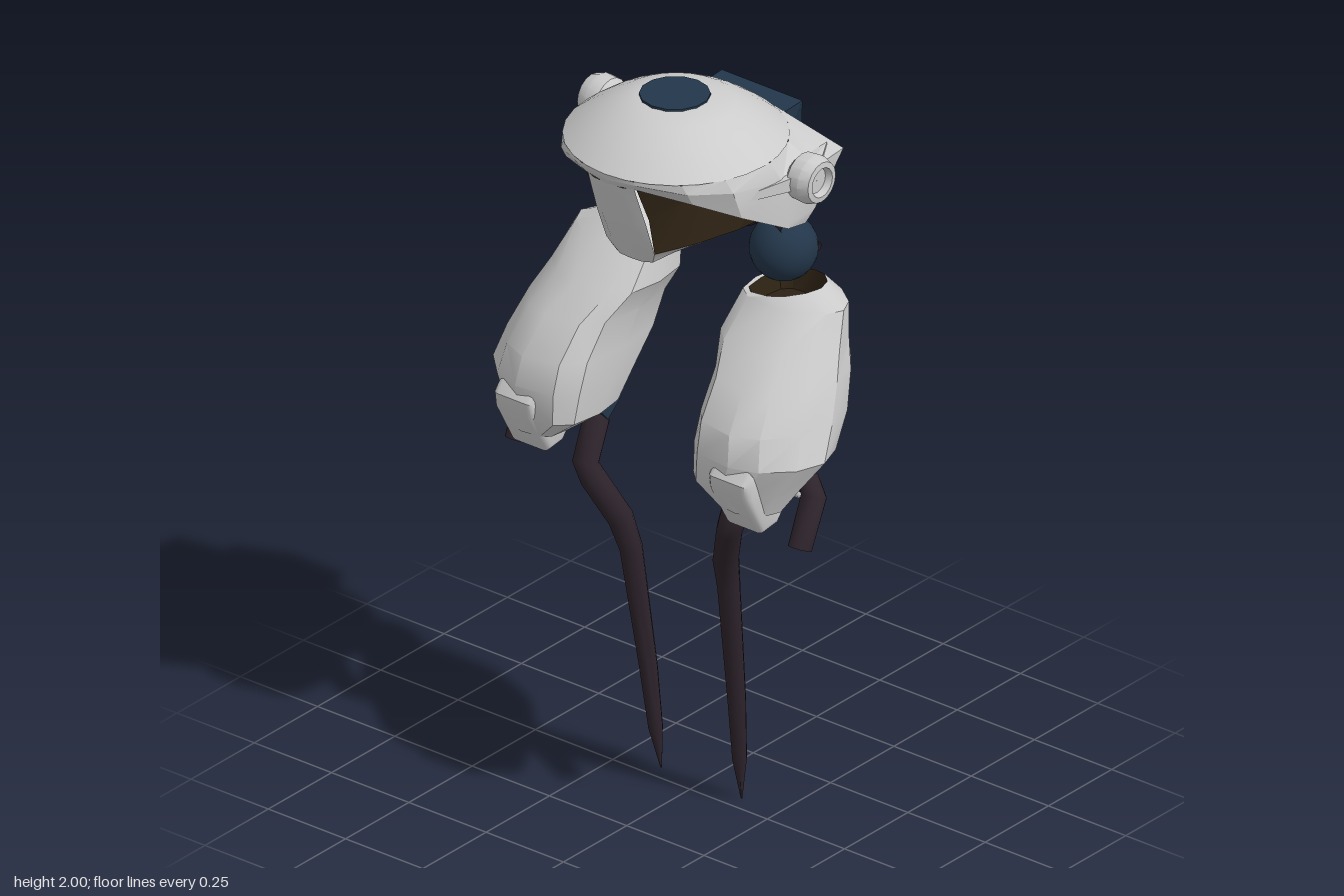
import * as THREE from 'three';
import { toCreasedNormals } from 'three/addons/utils/BufferGeometryUtils.js';
import { ConvexGeometry } from 'three/addons/geometries/ConvexGeometry.js';

const paint = (color) => new THREE.MeshStandardMaterial({ color, side: THREE.DoubleSide });
const GREY = paint(0xcccccc), BLUE = paint(0x23364a), DARK = paint(0x2e242c), HOLLOW = paint(0x2c2113);
const V = (x, y, z) => new THREE.Vector3(x, y, z);

function add(group, name, geometry, material, x = 0, y = 0, z = 0) {
  const mesh = new THREE.Mesh(geometry, material);
  mesh.name = name;
  mesh.position.set(x, y, z);
  group.add(mesh);
  return mesh;
}

// Skin rows of points; rows run along the part, points run around it
function loft(rows, closed = true, crease = 0.6) {
  const pos = [], n = rows[0].length;
  const tri = (a, b, c) => {
    const area = b.clone().sub(a).cross(c.clone().sub(a)).length();
    if (area > 1e-7) for (const p of [a, b, c]) pos.push(p.x, p.y, p.z);
  };
  for (let i = 0; i < rows.length - 1; i++)
    for (let j = 0; j < (closed ? n : n - 1); j++) {
      const k = (j + 1) % n, [r, s] = [rows[i], rows[i + 1]];
      tri(r[j], r[k], s[k]);
      tri(r[j], s[k], s[j]);
    }
  const g = new THREE.BufferGeometry();
  g.setAttribute('position', new THREE.Float32BufferAttribute(pos, 3));
  return toCreasedNormals(g, crease);
}

// Round limb along a bent path; each node is [x, y, z, radius]
function limb(nodes, sides = 10) {
  const pts = nodes.map(([x, y, z]) => V(x, y, z)), last = pts.length - 1;
  const rows = pts.map((p, i) => {
    const t = pts[Math.min(i + 1, last)].clone().sub(pts[Math.max(i - 1, 0)]).normalize();
    const u = V(0, 0, 1).addScaledVector(t, -t.z).normalize(), v = t.clone().cross(u);
    return Array.from({ length: sides }, (_, j) => {
      const a = (j / sides) * Math.PI * 2;
      return p.clone().addScaledVector(u, Math.cos(a) * nodes[i][3]).addScaledVector(v, Math.sin(a) * nodes[i][3]);
    });
  });
  const cap = (p) => Array(sides).fill(p);
  return loft([cap(pts[0]), ...rows, cap(pts[last])], true, 0.9);
}

// Horizontal section of the thigh: boxy on the inner side, wedge-like on the outer side
function section([y, x0, x1, z0, z1], tilt = 0) {
  return Array.from({ length: 12 }, (_, j) => {
    const a = (j / 12) * Math.PI * 2, power = Math.cos(a) > 0.01 ? 1.15 : 0.65;
    const soft = (c) => Math.sign(c) * Math.abs(c) ** power;
    const c = soft(Math.cos(a));
    return V((x0 + x1) / 2 + c * (x1 - x0) / 2, y + tilt * c, (z0 + z1) / 2 + soft(Math.sin(a)) * (z1 - z0) / 2);
  });
}

function makeHead() {
  const head = new THREE.Group();
  head.name = 'head';

  // Dome and the round hatch on top
  const dome = [[0.285, 1.886], [0.25, 1.915], [0.205, 1.946], [0.15, 1.976], [0.09, 1.995], [0.001, 1.995]];
  add(head, 'dome', new THREE.LatheGeometry(dome.map(([r, y]) => new THREE.Vector2(r, y)), 28), GREY, 0, 0, 0.055);
  add(head, 'topHatch', new THREE.CylinderGeometry(0.09, 0.09, 0.012, 14), BLUE, 0, 1.994, 0.06);

  // Band under the dome: angle on the rim, then brow, edge and underside corners
  const columns = [
    [0, [0, 1.87, 0.337], [0, 1.85, 0.325], [0, 1.85, 0.325]],
    [17, [0.09, 1.875, 0.325], [0.083, 1.855, 0.312], [0.083, 1.855, 0.312]],
    [42, [0.205, 1.86, 0.26], [0.205, 1.825, 0.24], [0.205, 1.825, 0.24]],
    [65, [0.275, 1.85, 0.165], [0.275, 1.765, 0.13], [0.275, 1.765, 0.13]],
    [95, [0.308, 1.83, 0.01], [0.31, 1.705, -0.01], [0.31, 1.69, -0.01]],
    [120, [0.32, 1.83, -0.11], [0.315, 1.71, -0.11], [0.30, 1.67, -0.09]],
    [140, [0.31, 1.83, -0.228], [0.25, 1.75, -0.245], [0.2, 1.64, -0.2]],
    [160, [0.135, 1.855, -0.228], [0.14, 1.74, -0.275], [0.12, 1.62, -0.21]],
    [180, [0, 1.85, -0.225], [0, 1.73, -0.265], [0, 1.62, -0.21]],
  ];
  const half = columns.map(([deg, ...rest]) => {
    const a = (deg * Math.PI) / 180;
    return [V(0.285 * Math.sin(a), 1.886, 0.055 + 0.285 * Math.cos(a)), ...rest.map((p) => V(...p))];
  });
  const flip = (p) => V(-p.x, p.y, p.z);
  const full = [...half, ...half.slice(1, -1).reverse().map((c) => c.map(flip))].reverse();
  add(head, 'browBand', loft([0, 1, 2, 3].map((r) => full.map((c) => c[r])), true, 0.45), GREY);

  // Nose plate running down to the jaw
  const nose = [[0.075, 1.855, 0.312, 0.327], [0.08, 1.74, 0.272, 0.292], [0.078, 1.64, 0.235, 0.25], [0.06, 1.605, 0.22, 0.236]];
  add(head, 'nosePlate', loft(nose.map(([w, y, z, zc]) =>
    [V(-w, y, z), V(-w * 0.6, y, zc - 0.003), V(0, y, zc), V(w * 0.6, y, zc - 0.003), V(w, y, z)]), false), GREY);

  // Jaw, and the hollow between band and jaw, one per side
  const jawEdge = [V(0.078, 1.64, 0.235), V(0.13, 1.645, 0.13), V(0.175, 1.655, 0.02), V(0.2, 1.665, -0.09), V(0.18, 1.64, -0.2), V(0.12, 1.62, -0.21)];
  const keel = [V(0, 1.605, 0.236), V(0, 1.585, 0.15), V(0, 1.565, 0.02), V(0, 1.575, -0.08), V(0, 1.61, -0.19), V(0, 1.62, -0.21)];
  const middle = jawEdge.map((p, i) => p.clone().lerp(keel[i], 0.5).add(V(0, i && i < 4 ? -0.012 : 0, 0)));
  middle[0].set(0.06, 1.605, 0.22);
  const upper = [...half.slice(1, 5).map((c) => c[3]), V(0.3, 1.67, -0.09), V(0.2, 1.64, -0.2)];
  const lower = [0, 0, 1, 2, 3, 4].map((i) => jawEdge[i]);
  const inner = [V(0.072, 1.74, 0.25), V(0.1, 1.76, 0.14), V(0.14, 1.75, 0.04), V(0.19, 1.73, -0.04), V(0.25, 1.7, -0.1), V(0.19, 1.645, -0.2)];
  for (const side of [1, -1]) {
    const g = new THREE.Group();
    g.name = side > 0 ? 'leftFace' : 'rightFace';
    g.scale.x = side;
    add(g, 'jaw', loft([jawEdge, middle, keel], false), GREY);
    add(g, 'eyeHollow', loft([upper, inner, lower], false, 0.3), HOLLOW);

    // Round side pod with a recessed centre, on a slim fin
    const pod = [[0.045, 0], [0.062, 0.015], [0.065, 0.05], [0.055, 0.078], [0.04, 0.08], [0.034, 0.062], [0.001, 0.062]];
    const podGeo = new THREE.LatheGeometry(pod.map(([r, y]) => new THREE.Vector2(r, y)), 16).rotateZ(-Math.PI / 2);
    add(g, 'sidePod', toCreasedNormals(podGeo, 0.5), GREY, 0.295, 1.82, -0.065);
    const fin = [[0.27, 1.825, 0.15], [0.27, 1.81, 0.15], [0.33, 1.84, -0.03], [0.33, 1.8, -0.03],
      [0.33, 1.84, -0.11], [0.33, 1.8, -0.11], [0.28, 1.85, -0.2], [0.28, 1.81, -0.2]];
    add(g, 'podFin', new ConvexGeometry(fin.map((p) => V(...p))), GREY);
    head.add(g);
  }

  // Tapered pack on the back
  const pack = [[0.13, 1.875, -0.19], [0.13, 1.88, -0.285], [0.1, 1.87, -0.3], [0.08, 1.77, -0.345], [0.08, 1.71, -0.28], [0.12, 1.73, -0.19]];
  add(head, 'backPack', new ConvexGeometry(pack.flatMap(([x, y, z]) => [V(x, y, z), V(-x, y, z)])), BLUE);
  return head;
}

function makeLeg(side) {
  const leg = new THREE.Group();
  leg.name = side > 0 ? 'leftLeg' : 'rightLeg';
  leg.scale.x = side;

  // Hip ball and the pipes joining it to the head
  add(leg, 'hipBall', new THREE.SphereGeometry(0.088, 24, 16), BLUE, 0.205, 1.56, -0.12);
  const pipe = (name, pts, r) => add(leg, name,
    new THREE.TubeGeometry(new THREE.CatmullRomCurve3(pts.map((p) => V(...p))), 18, r, 8), DARK);
  pipe('hipPipe', [[0.03, 1.61, -0.1], [0.1, 1.605, -0.14], [0.14, 1.595, -0.185], [0.19, 1.56, -0.205], [0.25, 1.54, -0.19]], 0.02);
  pipe('hipLink', [[0.1, 1.61, -0.1], [0.14, 1.635, -0.1], [0.19, 1.645, -0.1], [0.24, 1.635, -0.09]], 0.02);

  // Thigh armour leaning forward, open at the inner top
  const shape = [
    [1.465, 0.14, 0.425, -0.192, 0.015], [1.38, 0.13, 0.45, -0.192, 0.11], [1.31, 0.165, 0.475, -0.187, 0.185],
    [1.22, 0.17, 0.5, -0.155, 0.255], [1.14, 0.17, 0.518, -0.07, 0.272], [1.06, 0.18, 0.465, 0.0, 0.272],
    [1.0, 0.26, 0.43, 0.09, 0.245], [0.985, 0.32, 0.37, 0.14, 0.21],
  ];
  const rim = section([1.48, 0.15, 0.345, -0.19, -0.005], 0.018);
  add(leg, 'thigh', loft([rim, ...shape.map((s) => section(s))], true, 0.5), GREY);
  add(leg, 'thighHollow', loft([section([1.42, 0.24, 0.26, -0.1, -0.08]), section([1.42, 0.17, 0.33, -0.17, -0.02]), rim]), HOLLOW);

  // Knee pad
  const pad = new THREE.Shape([[0.25, 1.115], [0.262, 1.1], [0.258, 1.07], [0.2, 0.965], [0.16, 0.97], [0.135, 1.0], [0.2, 1.09]]
    .map(([z, y]) => new THREE.Vector2(z, y)));
  const padGeo = new THREE.ExtrudeGeometry(pad, { depth: 0.09, bevelSize: 0.018, bevelThickness: 0.02, bevelSegments: 3 });
  add(leg, 'kneePad', toCreasedNormals(padGeo.translate(0, 0, -0.045).rotateY(-Math.PI / 2), 0.7), GREY, 0.347, 0, 0);

  // Knee joint with blue blocks and collar
  add(leg, 'kneeBlock', new THREE.BoxGeometry(0.08, 0.045, 0.07), BLUE, 0.25, 1.045, 0.055).rotation.x = 0.7;
  add(leg, 'calfBlock', new THREE.BoxGeometry(0.05, 0.09, 0.03), BLUE, 0.25, 1.15, -0.055).rotation.x = -0.8;
  add(leg, 'kneeCollar', new THREE.TorusGeometry(0.036, 0.01, 8, 16).rotateY(Math.PI / 2), GREY, 0.415, 1.04, 0.06);

  // Short outer strut and the long pointed shin
  add(leg, 'outerStrut', limb([[0.36, 1.04, 0.06, 0.03], [0.435, 1.04, 0.06, 0.032], [0.458, 1.015, 0.07, 0.034], [0.458, 0.89, 0.125, 0.032]]), DARK);
  add(leg, 'shin', limb([
    [0.32, 1.04, 0.06, 0.03], [0.26, 1.035, 0.06, 0.032], [0.242, 1.0, 0.075, 0.035], [0.238, 0.9, 0.122, 0.035],
    [0.222, 0.86, 0.115, 0.034], [0.17, 0.74, 0.066, 0.034], [0.158, 0.65, 0.04, 0.03],
    [0.143, 0.3, -0.01, 0.024], [0.136, 0.12, -0.03, 0.019], [0.13, 0, -0.045, 0.002],
  ]), DARK);
  return leg;
}

export function createModel() {
  const model = new THREE.Group();
  model.name = 'walker';
  model.add(makeHead(), makeLeg(1), makeLeg(-1));
  return model;
}
